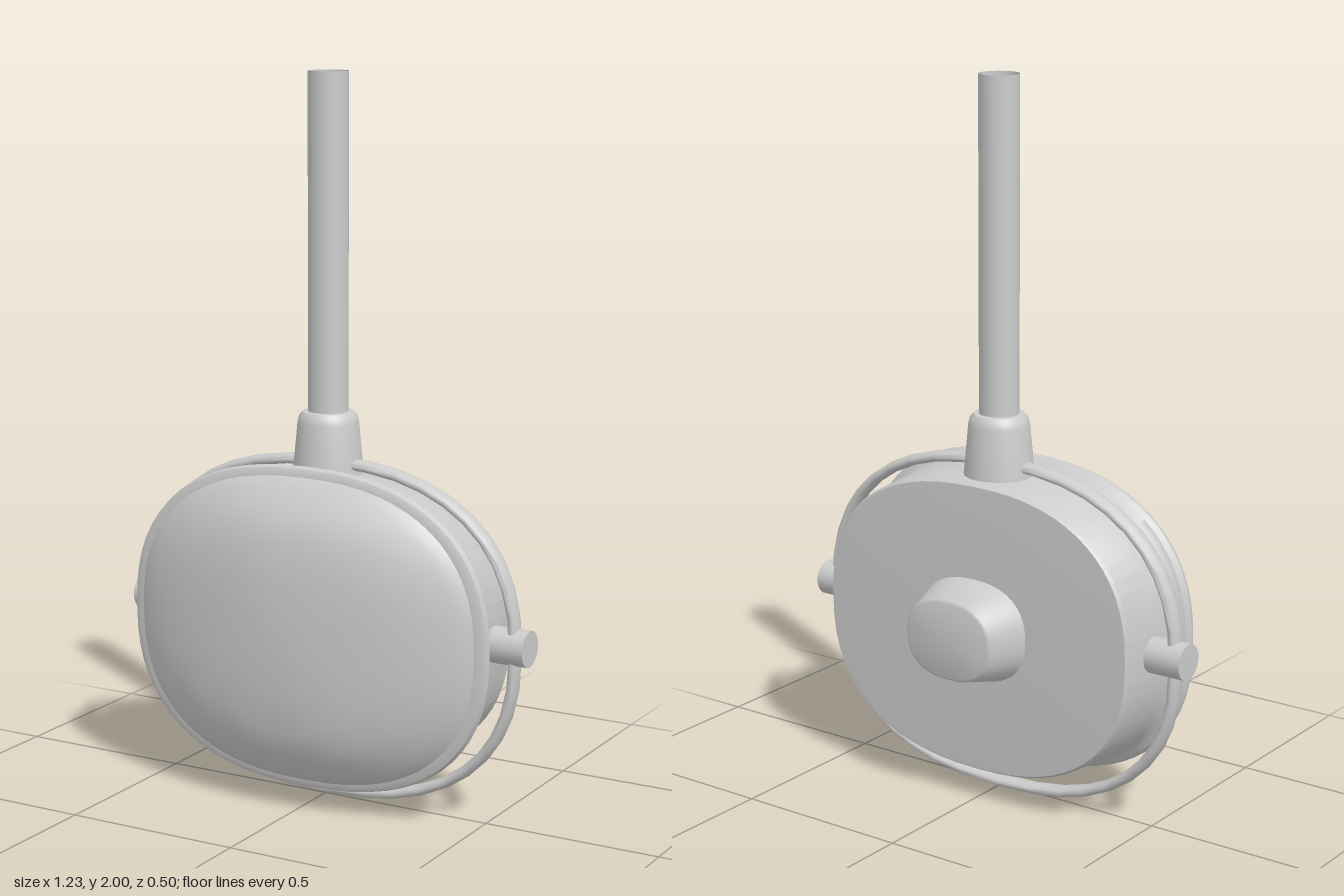
import * as THREE from 'three';
import { toCreasedNormals } from 'three/addons/utils/BufferGeometryUtils.js';

const CENTER_Y = 0.5;
const AXIS_Z = -0.015;

// Skins rounded-oval rings given as [z, halfWidth, halfHeight], ordered back to front.
function loftOval(rows, segments, crease = 0.6, power = 2.4) {
  const positions = [];
  const indices = [];
  const bend = (v) => Math.sign(v) * Math.pow(Math.abs(v), 2 / power);
  for (const [z, rx, ry] of rows) {
    for (let j = 0; j < segments; j++) {
      const a = (j / segments) * Math.PI * 2;
      positions.push(rx * bend(Math.cos(a)), ry * bend(Math.sin(a)), z);
    }
  }
  for (let i = 0; i < rows.length - 1; i++) {
    for (let j = 0; j < segments; j++) {
      const k = (j + 1) % segments;
      const a = i * segments + j, b = i * segments + k;
      const c = b + segments, d = a + segments;
      indices.push(a, b, c, a, c, d);
    }
  }
  const geometry = new THREE.BufferGeometry();
  geometry.setAttribute('position', new THREE.Float32BufferAttribute(positions, 3));
  geometry.setIndex(indices);
  return toCreasedNormals(geometry, crease);
}

export function createModel() {
  const group = new THREE.Group();
  const material = new THREE.MeshStandardMaterial({ color: 0xcccccc });
  const openMaterial = new THREE.MeshStandardMaterial({ color: 0xcccccc, side: THREE.DoubleSide });

  function add(name, geometry, x, y, z, mat = material) {
    const mesh = new THREE.Mesh(geometry, mat);
    mesh.name = name;
    mesh.position.set(x, y, z);
    group.add(mesh);
    return mesh;
  }

  // Housing: flat back, slightly tapered wall, neck and rolled front rim
  add('housing', loftOval([
    [-0.138, 0.001, 0.001], [-0.138, 0.48, 0.39], [-0.137, 0.495, 0.405],
    [-0.128, 0.502, 0.411], [0.03, 0.512, 0.422], [0.06, 0.518, 0.425],
    [0.075, 0.53, 0.432], [0.083, 0.545, 0.443], [0.1, 0.553, 0.45],
    [0.117, 0.548, 0.445], [0.125, 0.53, 0.43], [0.125, 0.5, 0.41],
  ], 64), 0, CENTER_Y, 0);

  // Domed front lens
  add('lens', loftOval([
    [0.12, 0.525, 0.427], [0.135, 0.508, 0.418], [0.155, 0.475, 0.4],
    [0.185, 0.4, 0.362], [0.21, 0.315, 0.325], [0.23, 0.215, 0.265],
    [0.243, 0.12, 0.165], [0.248, 0.05, 0.07], [0.25, 0.001, 0.001],
  ], 64, 1), 0, CENTER_Y, 0);

  // Tapered boss on the back
  add('rearBoss', loftOval([
    [-0.254, 0.001, 0.001], [-0.254, 0.13, 0.105], [-0.25, 0.139, 0.113],
    [-0.15, 0.172, 0.14], [-0.13, 0.178, 0.146],
  ], 40, 0.9), 0, CENTER_Y, 0);

  // Yoke hoop: an oval ring with a flattened cross-section
  const hoopRows = [];
  for (let i = 0; i <= 12; i++) {
    const t = (i / 12) * Math.PI * 2;
    const r = 0.015 * Math.cos(t);
    hoopRows.push([0.028 * Math.sin(t), 0.574 + r, 0.466 + r]);
  }
  add('yokeHoop', loftOval(hoopRows, 40, 1.2), 0, 0.481, -0.012);

  // Pivot pins on both sides
  for (const side of [1, -1]) {
    const pin = add(side > 0 ? 'leftPivotPin' : 'rightPivotPin',
      new THREE.CylinderGeometry(0.05, 0.05, 0.125, 24), side * 0.5525, CENTER_Y, AXIS_Z);
    pin.rotation.z = Math.PI / 2;
  }

  // Collar joining hoop and stem
  const collarProfile = [
    [0, 0.915], [0.097, 0.915], [0.084, 1.055], [0.08, 1.072], [0.07, 1.084], [0.05, 1.086], [0, 1.086],
  ].map(([r, y]) => new THREE.Vector2(r, y));
  add('collar', toCreasedNormals(new THREE.LatheGeometry(collarProfile, 32), 0.7), 0, 0, AXIS_Z);

  // Open hanging stem
  add('stem', new THREE.CylinderGeometry(0.055, 0.055, 0.94, 32, 1, true), 0, 1.53, AXIS_Z, openMaterial);

  return group;
}
